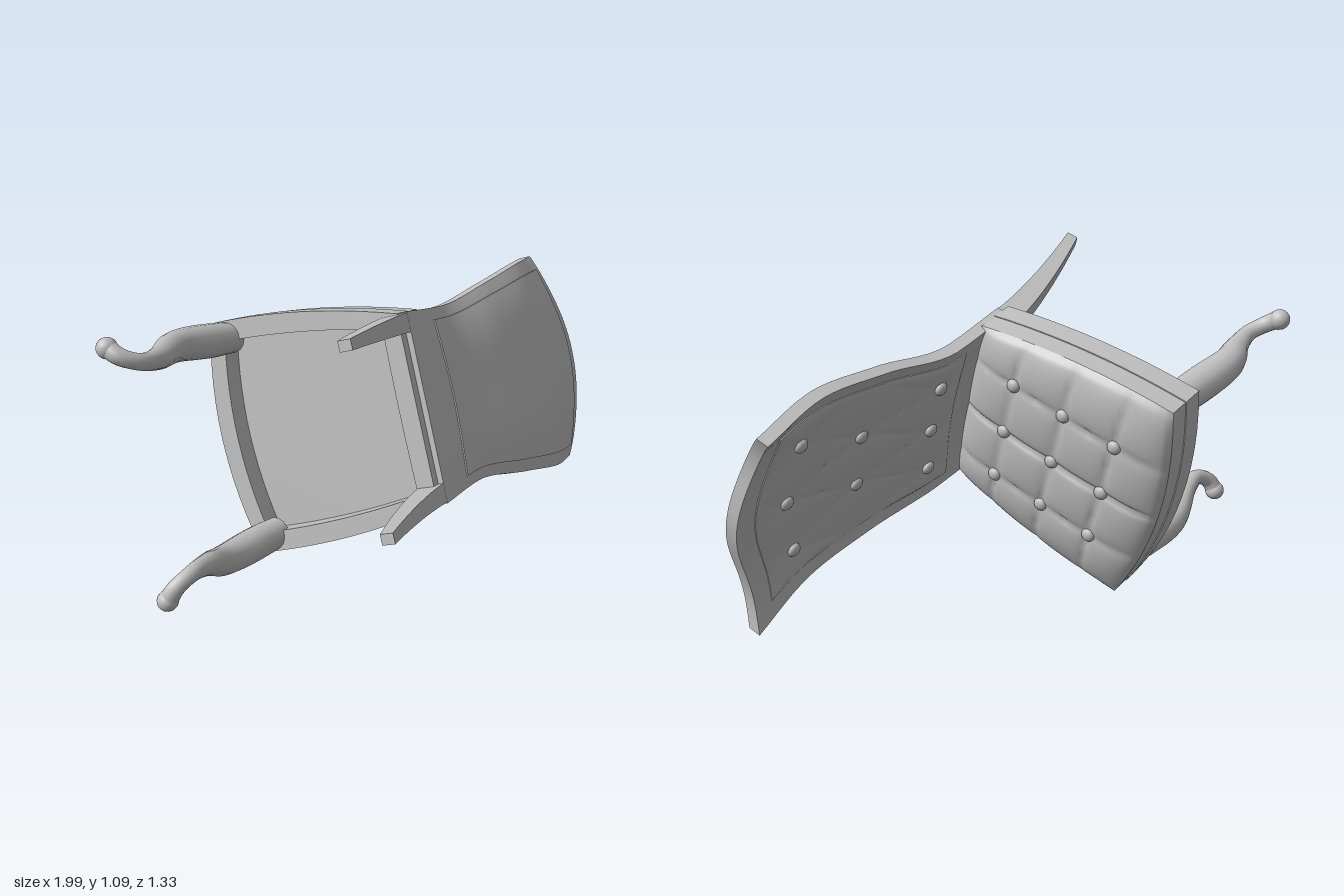
import * as THREE from 'three';

const grey = new THREE.MeshStandardMaterial({ color: 0xbfbfbf });
grey.name = 'grey';
const lerp = THREE.MathUtils.lerp;

// Chair-local axes: x = width, y = up, z = towards the seat front.

// Bends a -1..1 box by a rule, keeping the box edges sharp.
function bentBox(nx, ny, nz, rule) {
  const g = new THREE.BoxGeometry(2, 2, 2, nx, ny, nz);
  const p = g.attributes.position;
  for (let i = 0; i < p.count; i++) p.setXYZ(i, ...rule(p.getX(i), p.getY(i), p.getZ(i)));
  g.computeVertexNormals();
  return g;
}

// Seat plan: a runs across, b runs rear to front, both -1..1.
function seatPlan(a, b) {
  const t = (b + 1) / 2;
  const half = lerp(0.33, 0.426, t) + 0.025 * (1 - b * b);
  return [a * half, lerp(-0.29, 0.457 + 0.065 * (1 - a * a), t)];
}

function seatOutline(scale) {
  const pts = [];
  const corners = [[-1, -1], [1, -1], [1, 1], [-1, 1]];
  corners.forEach(([a, b], k) => {
    const [c, d] = corners[(k + 1) % 4];
    for (let i = 0; i < 12; i++) {
      const [x, z] = seatPlan(lerp(a, c, i / 12) * scale, lerp(b, d, i / 12) * scale);
      pts.push(new THREE.Vector2(x, -z));
    }
  });
  return pts;
}

// Square tufting on the seat
const puff = (i, j) => Math.pow(Math.abs(Math.sin(Math.PI * i) * Math.sin(Math.PI * j)), 0.28);
function seatTop(a, b) {
  const [x, z] = seatPlan(a, b);
  const rise = Math.pow((1 - a ** 4) * (1 - b ** 4), 0.5);
  return -0.115 + rise * (0.035 + 0.025 * puff(x / 0.207, (z - 0.11) / 0.205));
}

// Back rest: x = half width, y = rear face at the edge, z = rear face at the middle
const backCurve = new THREE.CatmullRomCurve3([
  [0.33, -0.31, -0.31], [0.318, -0.305, -0.325], [0.36, -0.355, -0.395],
  [0.403, -0.38, -0.43], [0.42, -0.328, -0.42],
].map(p => new THREE.Vector3(...p)));
function backPoint(a, t, depth) {
  const c = backCurve.getPoint(t);
  const top = 0.888 + 0.025 * Math.cos(Math.PI * a / 0.75) + 0.015 * a ** 4;
  return [a * c.x, lerp(-0.235, top, t), lerp(c.z, c.y, Math.abs(a) ** 2.8) + depth];
}
// Shallow diamond tufting on the back
function backFront(a, t) {
  const i = a / 0.29, j = (t - 0.56) / 0.26;
  const k = (t - 0.565) / 0.365;
  const rise = Math.pow(Math.max(0, (1 - (a / 0.86) ** 4) * (1 - k ** 4)), 0.5);
  return 0.05 + rise * (0.01 + 0.013 * puff((i + j + 1) / 2, (i - j + 1) / 2));
}

function addButton(parent, name, pos, flat) {
  const g = new THREE.SphereGeometry(0.025, 14, 10);
  g.scale(1, flat === 'y' ? 0.7 : 1, flat === 'z' ? 0.7 : 1);
  const m = new THREE.Mesh(g, grey);
  m.name = name;
  m.position.set(...pos);
  parent.add(m);
}

// Curved front leg: a tube whose radius follows a profile
function frontLegGeometry(s) {
  const curve = new THREE.CatmullRomCurve3([
    [0.362, -0.235, 0.4], [0.368, -0.345, 0.414], [0.376, -0.53, 0.43],
    [0.352, -0.68, 0.395], [0.355, -0.775, 0.388], [0.385, -0.828, 0.42], [0.418, -0.836, 0.452],
  ].map(([x, y, z]) => new THREE.Vector3(s * x, y, z)));
  const radii = new THREE.CatmullRomCurve3(
    [0.055, 0.06, 0.06, 0.055, 0.047, 0.035, 0.028, 0.032].map((r, i) => new THREE.Vector3(i, r, 0)));
  const rings = 40, sides = 14;
  const g = new THREE.TubeGeometry(curve, rings, 1, sides);
  const p = g.attributes.position, v = new THREE.Vector3();
  for (let i = 0; i <= rings; i++) {
    const c = curve.getPointAt(i / rings), r = radii.getPoint(i / rings).y;
    for (let j = 0; j <= sides; j++) {
      const k = i * (sides + 1) + j;
      v.fromBufferAttribute(p, k).sub(c).multiplyScalar(r).add(c);
      p.setXYZ(k, v.x, v.y, v.z);
    }
  }
  return g;
}

export function createModel() {
  const chair = new THREE.Group();
  chair.name = 'chair';
  const add = (name, geometry) => {
    const m = new THREE.Mesh(geometry, grey);
    m.name = name;
    chair.add(m);
    return m;
  };

  // Seat frame, open below
  const shape = new THREE.Shape(seatOutline(1));
  shape.holes.push(new THREE.Path(seatOutline(0.83).reverse()));
  const frame = new THREE.ExtrudeGeometry(shape, { depth: 0.08, bevelEnabled: false });
  frame.rotateX(-Math.PI / 2);
  frame.translate(0, -0.27, 0);
  add('seatFrame', frame);

  // Tufted seat cushion
  add('seatCushion', bentBox(60, 2, 60, (a, y, b) => {
    const [x, z] = seatPlan(a * 0.99, b * 0.99);
    return [x, lerp(-0.192, seatTop(a, b), (y + 1) / 2), z];
  }));
  for (const x of [-0.207, 0, 0.207]) {
    for (const z of [-0.095, 0.11, 0.315]) addButton(chair, 'seatButton', [x, -0.073, z], 'y');
  }

  // Curved back shell with a slightly raised panel behind
  add('backFrame', bentBox(32, 28, 1, (a, y, d) => backPoint(a, (y + 1) / 2, d > 0 ? 0.046 : 0)));
  add('backPanel', bentBox(28, 24, 1, (a, y, d) =>
    backPoint(a * 0.87, lerp(0.165, 0.955, (y + 1) / 2), d > 0 ? 0.01 : -0.005)));

  // Tufted back cushion
  add('backCushion', bentBox(56, 56, 1, (a, y, d) => {
    const t = lerp(0.2, 0.93, (y + 1) / 2);
    return backPoint(a * 0.86, t, d > 0 ? backFront(a * 0.86, t) : 0.03);
  }));
  for (const [t, across] of [[0.3, [-0.57, 0, 0.57]], [0.56, [-0.29, 0.29]], [0.82, [-0.57, 0, 0.57]]]) {
    for (const a of across) addButton(chair, 'backButton', backPoint(a, t, 0.064), 'z');
  }

  for (const s of [-1, 1]) {
    const side = s > 0 ? 'left' : 'right';
    // Swept, tapering rear legs
    add(side + 'RearLeg', bentBox(1, 10, 1, (x, y, z) => {
      const t = (y + 1) / 2;
      return [
        s * lerp(0.287, 0.294, t) + x * lerp(0.017, 0.034, t),
        lerp(-0.855, -0.2, t),
        -0.262 - 0.156 * Math.pow(1 - t, 1.35) + z * lerp(0.022, 0.045, t),
      ];
    }));
    // Cabriole front legs ending in a round toe
    add(side + 'FrontLeg', frontLegGeometry(s));
    const toe = add(side + 'FrontToe', new THREE.SphereGeometry(0.036, 16, 12));
    toe.position.set(s * 0.42, -0.836, 0.455);
  }

  // Tip the whole chair onto its side
  chair.quaternion.setFromRotationMatrix(new THREE.Matrix4().makeBasis(
    new THREE.Vector3(0, 0.933, -0.36),
    new THREE.Vector3(0.872, -0.176, -0.457),
    new THREE.Vector3(-0.49, -0.314, -0.814)));
  chair.position.set(0, 0.508, -0.196);
  const model = new THREE.Group();
  model.name = 'tippedChair';
  model.add(chair);
  return model;
}
